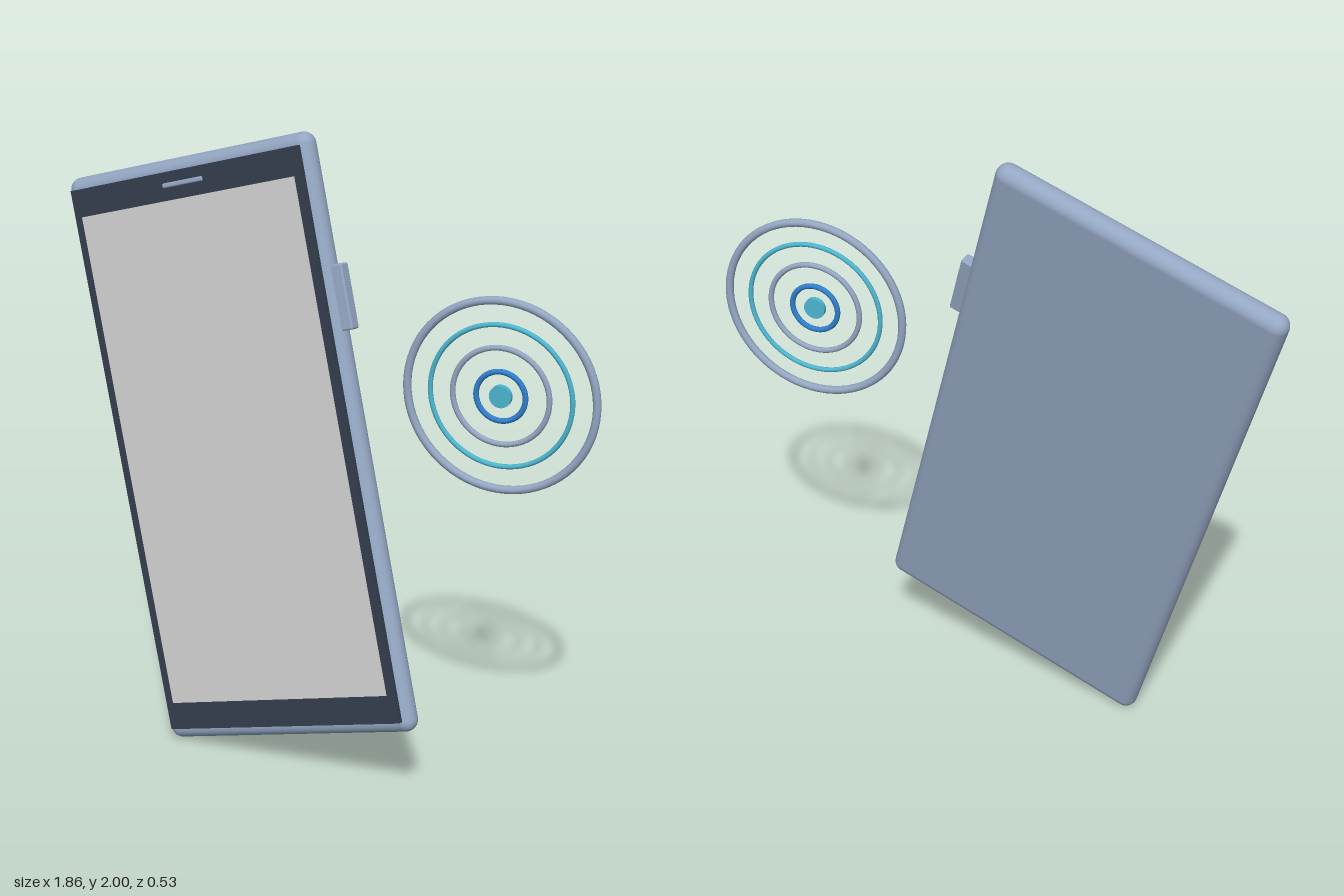
import * as THREE from 'three';
import { RoundedBoxGeometry } from 'three/addons/geometries/RoundedBoxGeometry.js';

const makeMaterial = (name, color) => {
  const m = new THREE.MeshStandardMaterial({ color });
  m.name = name;
  return m;
};

export function createModel() {
  const metal = makeMaterial('blue grey metal', 0x94a6c2);
  const glass = makeMaterial('dark glass', 0x323c4c);
  const display = makeMaterial('pale grey display', 0xcccccc);
  const cyan = makeMaterial('cyan', 0x4cb6d0);
  const blue = makeMaterial('blue', 0x2f7fcc);

  const model = new THREE.Group();
  model.name = 'phoneWithSignalRings';

  const add = (parent, name, geometry, material, x, y, z) => {
    const mesh = new THREE.Mesh(geometry, material);
    mesh.name = name;
    mesh.position.set(x, y, z);
    parent.add(mesh);
    return mesh;
  };

  // Tilted phone, built upright around its own centre
  const phone = new THREE.Group();
  phone.name = 'phone';
  phone.position.set(-0.243, 1.0, -0.01);
  phone.rotation.set(-0.14, -0.18, 0.28);
  model.add(phone);

  add(phone, 'body', new RoundedBoxGeometry(0.942, 1.842, 0.076, 5, 0.037), metal, 0, 0, 0);
  add(phone, 'glassPanel', new THREE.BoxGeometry(0.888, 1.766, 0.016), glass, 0, 0, 0.044);
  add(phone, 'screen', new THREE.BoxGeometry(0.83, 1.59, 0.004), display, 0, 0, 0.053);
  add(phone, 'speakerSlot', new RoundedBoxGeometry(0.155, 0.015, 0.01, 3, 0.0045), metal, 0.002, 0.842, 0.053);
  add(phone, 'sideButton', new RoundedBoxGeometry(0.05, 0.2, 0.04, 3, 0.006), metal, 0.478, 0.418, 0);

  // Concentric signal rings beside the phone
  const signal = new THREE.Group();
  signal.name = 'signalRings';
  signal.position.set(0.62, 1.32, 0.038);
  model.add(signal);

  [
    ['outerRing', 0.292, 0.0125, metal],
    ['cyanRing', 0.219, 0.0075, cyan],
    ['middleRing', 0.149, 0.0085, metal],
    ['innerRing', 0.076, 0.0085, blue],
  ].forEach(([name, radius, tube, material]) =>
    add(signal, name, new THREE.TorusGeometry(radius, tube, 12, 72), material, 0, 0, 0));

  const dot = add(signal, 'centreDot', new THREE.CylinderGeometry(0.034, 0.034, 0.016, 32), cyan, 0, 0, 0);
  dot.rotation.x = Math.PI / 2;

  return model;
}
